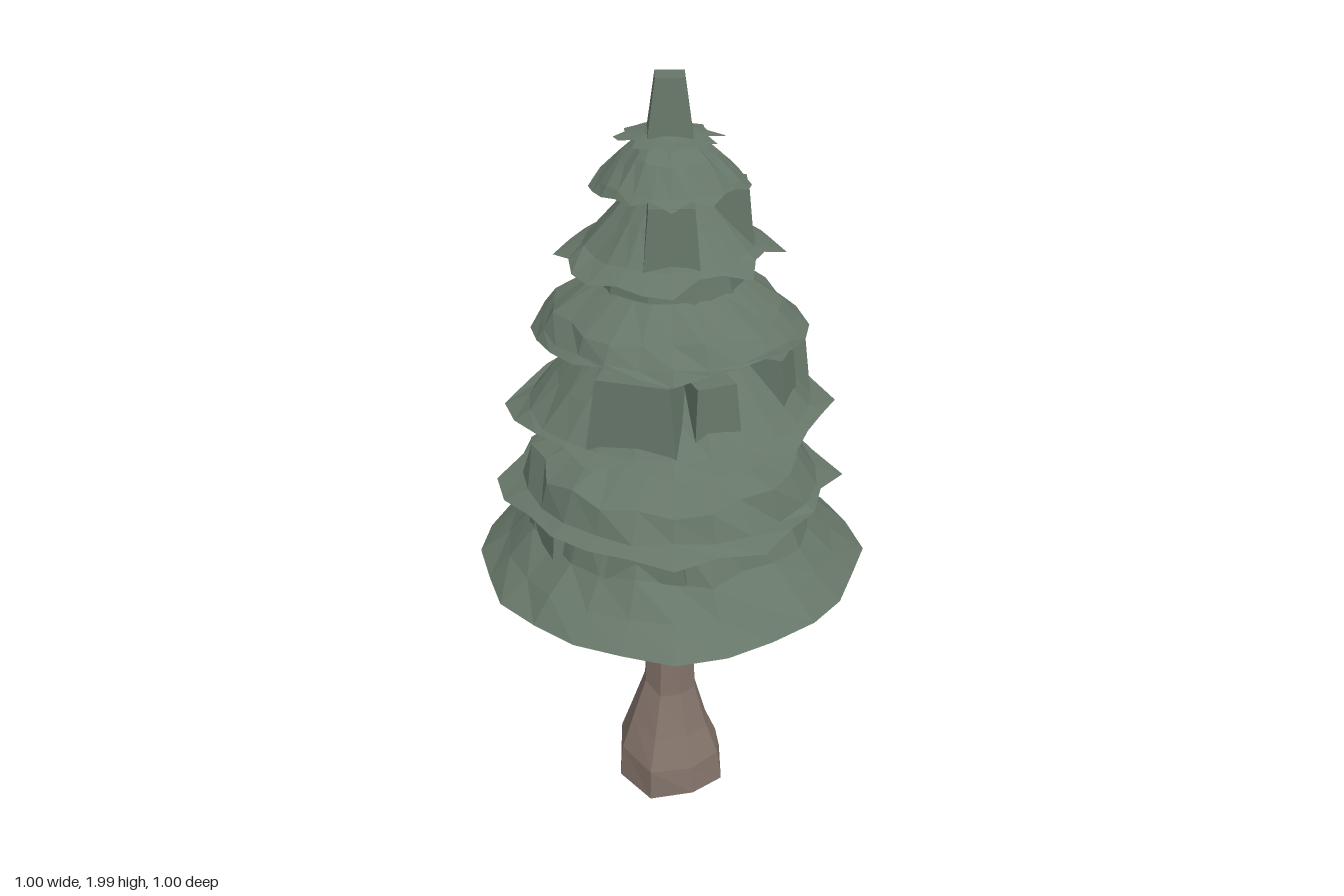
import * as THREE from 'three';

const CX = -0.02, CZ = -0.02; // trunk axis
const N = 24;                 // sides of each branch layer

// Small repeatable noise in -1..1
function noise(a, b) {
  const s = Math.sin(a * 12.9898 + b * 78.233) * 43758.5453;
  return (s - Math.floor(s)) * 2 - 1;
}

// Faceted surface through rings of points, listed from top to bottom
function loft(rings, capTop = false) {
  const pos = [];
  const tri = (...pts) => pts.forEach((p) => pos.push(p.x, p.y, p.z));
  const n = rings[0].length;
  for (let i = 0; i < rings.length - 1; i++) {
    for (let j = 0; j < n; j++) {
      const k = (j + 1) % n;
      const p = rings[i][j], q = rings[i][k], r = rings[i + 1][j], s = rings[i + 1][k];
      tri(p, q, r);
      tri(q, s, r);
    }
  }
  if (capTop) for (let j = 1; j < n - 1; j++) tri(rings[0][0], rings[0][j + 1], rings[0][j]);
  const g = new THREE.BufferGeometry();
  g.setAttribute('position', new THREE.Float32BufferAttribute(pos, 3));
  g.computeVertexNormals();
  return g;
}

function ring(n, y, radius, turn = 0) {
  return Array.from({ length: n }, (_, j) => {
    const a = (j / n) * Math.PI * 2 + turn;
    const r = typeof radius === 'function' ? radius(j) : radius;
    const h = typeof y === 'function' ? y(j) : y;
    return new THREE.Vector3(CX + Math.cos(a) * r, h, CZ + Math.sin(a) * r);
  });
}

export function createModel() {
  const tree = new THREE.Group();
  tree.name = 'pineTree';
  const bark = new THREE.MeshStandardMaterial({ color: 0x83736a, side: THREE.DoubleSide, flatShading: true });
  bark.name = 'bark brown';
  const needles = new THREE.MeshStandardMaterial({ color: 0x667668, side: THREE.DoubleSide, flatShading: true });
  needles.name = 'needle green';
  const add = (name, geometry, material) => {
    const mesh = new THREE.Mesh(geometry, material);
    mesh.name = name;
    tree.add(mesh);
    return mesh;
  };

  // Trunk with a broad face on each side and flared roots
  const eighth = Math.PI / 8;
  const trunkRing = (y, r, rough = 0) =>
    ring(8, (j) => y + rough * noise(j, 3), (j) => r * (1 + rough * 2 * noise(j, 7)), eighth);
  add('trunk', loft([
    trunkRing(1.5, 0.053),
    trunkRing(0.73, 0.059),
    trunkRing(0.5, 0.065),
    trunkRing(0.32, 0.074, 0.02),
    trunkRing(0.2, 0.112, 0.03),
    trunkRing(0.11, 0.145, 0.02),
    ring(8, (j) => (j % 2 ? 0.03 : 0.01), 0.153, eighth),
    ring(8, 0.05, 0, eighth),
  ]), bark);

  // Branch layers as [radius, height]: top, shoulder, hem, drooping tips, underside
  const layers = [
    { top: [0.31, 0.99], mid: [0.35, 0.87], hem: [0.42, 0.805], tip: [0.5, 0.745], inner: [0.16, 0.95] },
    { top: [0.2, 1.115], mid: [0.335, 1.06], hem: [0.37, 0.99], tip: [0.435, 0.967], inner: [0.2, 1.0] },
    { top: [0.19, 1.37], mid: [0.275, 1.28], hem: [0.35, 1.208], tip: [0.405, 1.182], inner: [0.18, 1.23] },
    { top: [0.175, 1.52], mid: [0.275, 1.455], hem: [0.31, 1.415], tip: [0.335, 1.388], inner: [0.17, 1.41] },
    { top: [0.08, 1.75], mid: [0.14, 1.68], hem: [0.205, 1.612], tip: [0.27, 1.575], inner: [0.13, 1.62] },
    { top: [0.06, 1.87], mid: [0.115, 1.82], hem: [0.165, 1.768], tip: [0.187, 1.742], inner: [0.08, 1.76] },
    { top: [0.05, 1.875], mid: [0.06, 1.871], hem: [0.075, 1.867], tip: [0.125, 1.858], inner: [0.05, 1.862] },
  ];
  layers.forEach(({ top, mid, hem, tip, inner }, i) => {
    // how far each point of the edge reaches from hem to tip
    const reach = (j) => {
      if (j % 6 === 0) return i || j === 0 || j === 6 ? 1.1 : 0.95;
      return i ? 0.6 + 0.4 * noise(j, i + 1) : 0.82 + 0.18 * noise(j, 9);
    };
    const rough = i === 6 ? 0 : 0.012;
    add(`branchLayer${i + 1}`, loft([
      ring(N, top[1], (j) => top[0] * (1 + 0.04 * noise(j, i + 60))),
      ring(N, (j) => mid[1] + rough * noise(j, i + 30), (j) => mid[0] * (1 + 0.05 * noise(j, i + 40))),
      ring(N, (j) => hem[1] + rough * 0.5 * noise(j, i + 20), (j) => hem[0] * (1 + 0.02 * noise(j, i + 70))),
      ring(N, (j) => (i ? hem[1] + (tip[1] - hem[1]) * Math.min(1, reach(j)) : tip[1] + 0.006 * noise(j, 5)),
        (j) => hem[0] + (tip[0] - hem[0]) * reach(j)),
      ring(N, (j) => inner[1] + rough * noise(j, i + 50), inner[0]),
    ]), needles);
  });

  // Dense foliage between the layers
  const core = [
    ['lowerFoliage', 1.2, 0.205, 1.08, 0.215],
    ['middleFoliage', 1.36, 0.19, 1.18, 0.21],
    ['upperFoliage', 1.63, 0.15, 1.5, 0.18],
  ];
  core.forEach(([name, y1, r1, y0, r0]) =>
    add(name, loft([ring(10, y1, r1), ring(10, y0, r0)]), needles));

  // Squared leader at the top
  const corner = Math.SQRT2, turn = Math.PI / 4;
  add('treeTop', loft([
    ring(4, 2, 0.034 * corner, turn),
    ring(4, 1.87, 0.052 * corner, turn),
    ring(4, 1.74, 0.062 * corner, turn),
    ring(4, 1.6, 0.085 * corner, turn),
  ], true), needles);

  // Blocky clumps, mirrored about the diagonal between +x and +z
  const clumps = [
    // angle, outer radius, depth, width, bottom, top
    [-0.3, 0.33, 0.16, 0.22, 1.2, 1.38],
    [0.35, 0.31, 0.14, 0.12, 1.2, 1.36],
    [-0.2, 0.345, 0.14, 0.2, 0.87, 0.99],
    [0, 0.195, 0.1, 0.13, 1.6, 1.75],
    [2.75, 0.355, 0.14, 0.18, 0.86, 0.98],
  ];
  clumps.forEach(([angle, radius, depth, width, y0, y1]) => {
    [angle, Math.PI / 2 - angle].forEach((a) => {
      const g = new THREE.BoxGeometry(depth, y1 - y0, width);
      const p = g.attributes.position;
      // pinch the upper outer corners
      for (let v = 0; v < p.count; v++) {
        if (p.getY(v) > 0) {
          p.setZ(v, p.getZ(v) * 0.8);
          if (p.getX(v) > 0) p.setX(v, p.getX(v) - 0.015);
        }
      }
      g.computeVertexNormals();
      const mesh = add('foliageClump', g, needles);
      const r = radius - depth / 2;
      mesh.position.set(CX + Math.cos(a) * r, (y0 + y1) / 2, CZ + Math.sin(a) * r);
      mesh.rotation.y = -a;
    });
  });

  return tree;
}
